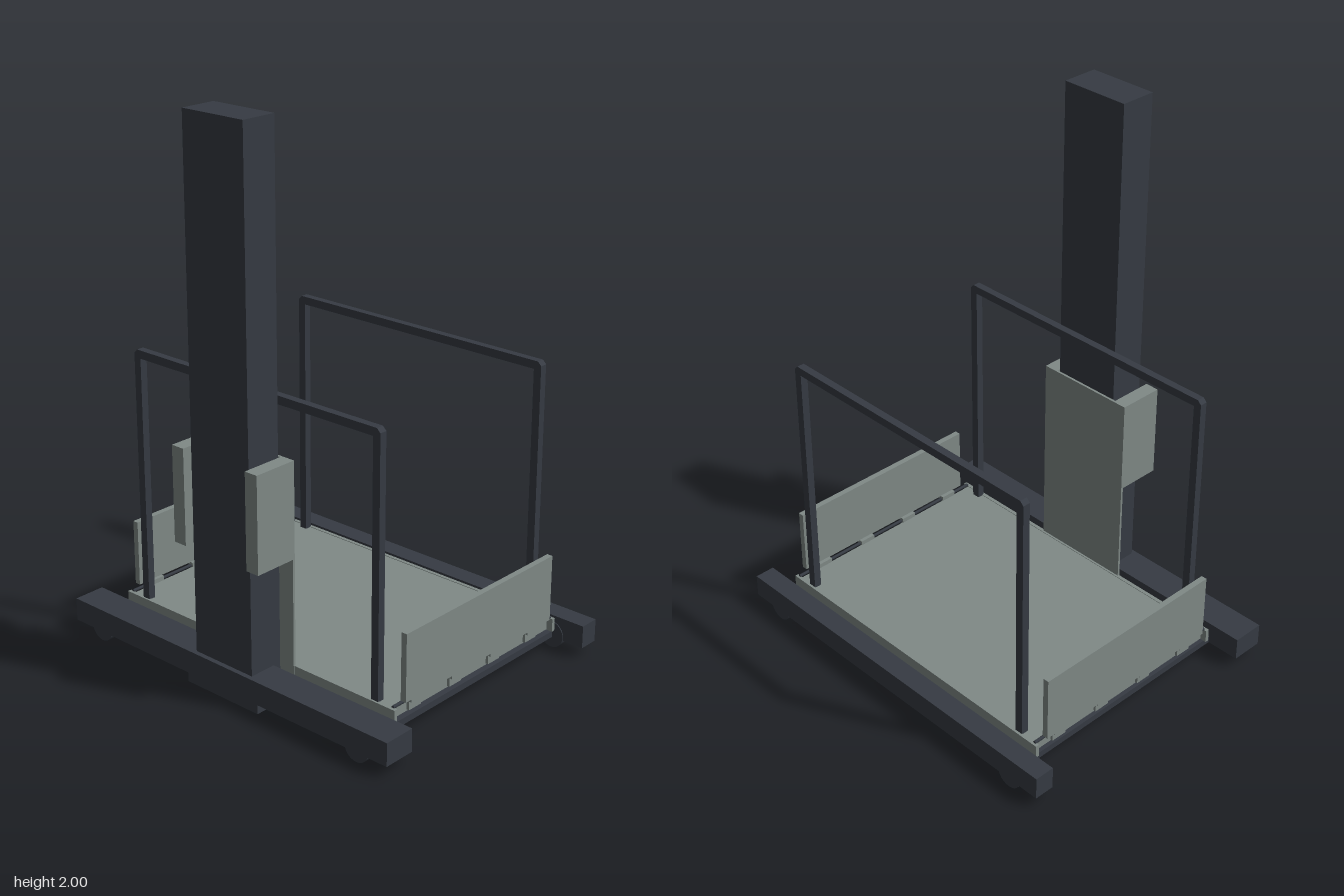
import * as THREE from 'three';

export function createModel() {
  const model = new THREE.Group();
  model.name = 'platformLift';
  const dark = new THREE.MeshStandardMaterial({ color: 0x363b43 });
  dark.name = 'dark steel';
  const light = new THREE.MeshStandardMaterial({ color: 0x808a87 });
  light.name = 'grey panel';

  const add = (name, geometry, material, parent = model) => {
    const mesh = new THREE.Mesh(geometry, material);
    mesh.name = name;
    parent.add(mesh);
    return mesh;
  };
  // Box given by its extents along each axis
  const box = (name, material, [x0, x1], [y0, y1], [z0, z1], parent = model) => {
    const mesh = add(name, new THREE.BoxGeometry(x1 - x0, y1 - y0, z1 - z0), material, parent);
    mesh.position.set((x0 + x1) / 2, (y0 + y1) / 2, (z0 + z1) / 2);
    return mesh;
  };
  const span = (a, b, sign) => (sign > 0 ? [a, b] : [-b, -a]);

  // Base: two long rails, cross beams, rollers and a foot under the mast
  const base = new THREE.Group();
  base.name = 'base';
  model.add(base);
  box('mastRail', dark, [-0.563, -0.441], [0.04, 0.125], [-0.74, 0.74], base);
  box('outerRail', dark, [0.489, 0.565], [0.04, 0.125], [-0.74, 0.74], base);
  box('mastFoot', dark, [-0.555, -0.39], [0, 0.034], [-0.166, 0.166], base);
  box('mastFootMount', dark, [-0.545, -0.45], [0.03, 0.045], [-0.12, 0.12], base);
  for (const s of [1, -1]) {
    box('crossBeam', dark, [-0.45, 0.495], [0.04, 0.064], span(0.525, 0.612, s), base);
    for (const x of [-0.52, 0.524]) {
      const wheel = add('wheel', new THREE.CylinderGeometry(0.05, 0.05, 0.077, 24), dark, base);
      wheel.rotation.z = Math.PI / 2;
      wheel.position.set(x, 0.052, 0.608 * s);
    }
  }

  // Mast
  box('mast', dark, [-0.545, -0.409], [0.04, 2], [-0.132, 0.132]);

  // Carriage: back plate plus two cheeks that straddle the mast
  const carriage = new THREE.Group();
  carriage.name = 'carriage';
  model.add(carriage);
  box('carriagePlate', light, [-0.409, -0.4], [0.1, 0.875], [-0.195, 0.195], carriage);
  for (const s of [1, -1])
    box('carriageCheek', light, [-0.572, -0.405], [0.525, 0.875], span(0.142, 0.195, s), carriage);

  // Platform deck with slim side frames
  const platform = new THREE.Group();
  platform.name = 'platform';
  model.add(platform);
  box('deck', light, [-0.395, 0.455], [0.085, 0.13], [-0.612, 0.612], platform);
  for (const [x0, x1] of [[-0.406, -0.392], [0.45, 0.464]])
    box('sideFrame', light, [x0, x1], [0.083, 0.132], [-0.636, 0.636], platform);

  // Folded-up ramps at both ends, each on a hinge rod with four knuckles
  for (const s of [1, -1]) {
    const ramp = new THREE.Group();
    ramp.name = s > 0 ? 'frontRamp' : 'backRamp';
    model.add(ramp);
    box('rampPanel', light, [-0.36, 0.42], [0.145, 0.392], span(0.623, 0.645, s), ramp);
    const rod = add('hingeRod', new THREE.CylinderGeometry(0.006, 0.006, 0.85, 8), dark, ramp);
    rod.rotation.z = Math.PI / 2;
    rod.position.set(0.03, 0.134, 0.62 * s);
    for (const x of [-0.285, -0.077, 0.132, 0.341]) {
      box('hingeKnuckle', light, [x - 0.031, x + 0.031], [0.122, 0.147], span(0.609, 0.632, s), ramp);
      box('hingeLeaf', light, [x - 0.031, x + 0.031], [0.09, 0.124], span(0.61, 0.622, s), ramp);
    }
  }

  // Handrails: square-section arches with clipped corners
  const arch = new THREE.Shape();
  const h = 1.08, w = 0.56, t = 0.03, c = 0.014;
  [[-w, 0.125], [-w + t, 0.125], [-w + t, h - t], [w - t, h - t], [w - t, 0.125], [w, 0.125],
    [w, h - c], [w - c, h], [-w + c, h], [-w, h - c]]
    .forEach(([z, y], i) => (i ? arch.lineTo(z, y) : arch.moveTo(z, y)));
  const archGeometry = new THREE.ExtrudeGeometry(arch, { depth: 0.028, bevelEnabled: false });
  archGeometry.translate(0, 0, -0.014);
  archGeometry.rotateY(Math.PI / 2);
  add('mastSideHandrail', archGeometry, dark).position.x = -0.385;
  add('outerHandrail', archGeometry, dark).position.x = 0.441;

  return model;
}
